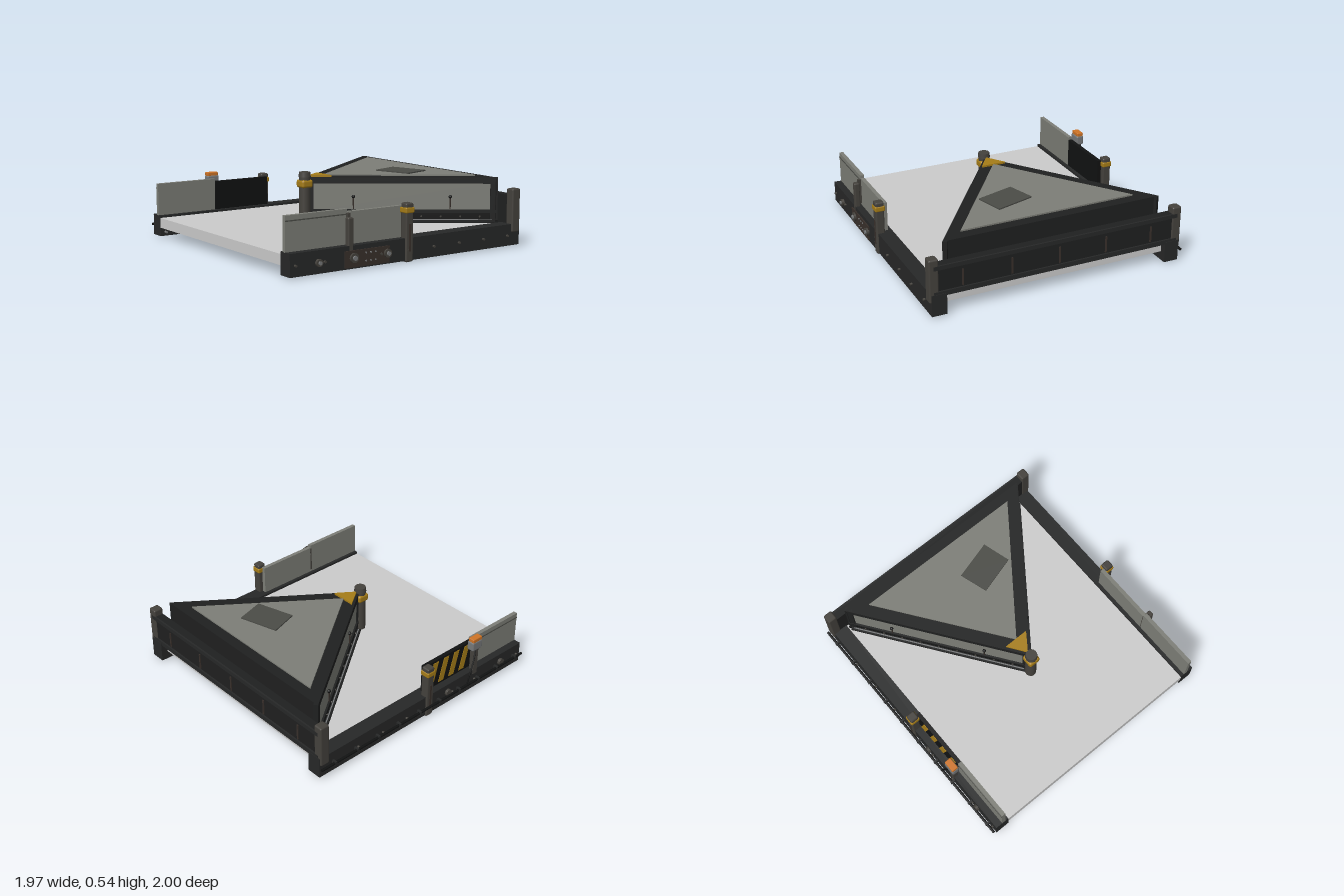
import * as THREE from 'three';
import { RoundedBoxGeometry } from 'three/addons/geometries/RoundedBoxGeometry.js';

const mat = (color, opts = {}) => new THREE.MeshStandardMaterial({ color, ...opts });
const M = {
  floor: mat(0xcccccc), black: mat(0x1f2020), rail: mat(0x272828), channel: mat(0x111212),
  panel: mat(0x7d7e77), hatch: mat(0x4b4c47), post: mat(0x45423d), rust: mat(0x39302b),
  steel: mat(0x77797a), yellow: mat(0xa67d18), orange: mat(0xcf7426),
};

export function createModel() {
  const root = new THREE.Group();
  root.name = 'barrierPlatform';

  const add = (parent, name, geo, material, x = 0, y = 0, z = 0) => {
    const m = new THREE.Mesh(geo, material);
    m.name = name;
    m.position.set(x, y, z);
    parent.add(m);
    return m;
  };
  // box given by its limits on each axis
  const box = (parent, name, material, x0, x1, y0, y1, z0, z1) =>
    add(parent, name, new THREE.BoxGeometry(Math.abs(x1 - x0), y1 - y0, z1 - z0), material,
      (x0 + x1) / 2, (y0 + y1) / 2, (z0 + z1) / 2);
  // short cylinder lying along x
  const knob = (parent, name, material, r, len, x, y, z, sides = 12) => {
    const m = add(parent, name, new THREE.CylinderGeometry(r, r, len, sides), material, x, y, z);
    m.rotation.z = Math.PI / 2;
    return m;
  };
  // flat polygon in x,z extruded upward from y0 to y1
  const slab = (parent, name, material, pts, y0, y1) => {
    const shape = new THREE.Shape(pts.map(([x, z]) => new THREE.Vector2(x, -z)));
    const geo = new THREE.ExtrudeGeometry(shape, { depth: y1 - y0, bevelEnabled: false });
    geo.rotateX(-Math.PI / 2);
    return add(parent, name, geo, material, 0, y0, 0);
  };

  // Floor plate
  box(root, 'floor', M.floor, -0.84, 0.84, 0.08, 0.155, -0.95, 1);

  // Side rails with bolts, posts and fence panels
  for (const s of [-1, 1]) {
    const side = new THREE.Group();
    side.name = s > 0 ? 'leftSide' : 'rightSide';
    root.add(side);
    box(side, 'rail', M.rail, s * 0.84, s * 0.95, 0.015, 0.172, -1, 1);
    for (let i = 0; i < 9; i++) {
      const z = -0.88 + i * 0.23;
      knob(side, 'outerBolt', M.post, 0.009, 0.02, s * 0.955, 0.09, z, 8);
      knob(side, 'innerBolt', M.steel, 0.009, 0.03, s * 0.83, 0.045, z, 8);
    }
    // Rear corner post
    add(side, 'cornerPost', new RoundedBoxGeometry(0.07, 0.32, 0.075, 1, 0.012), M.post, s * 0.928, 0.27, -0.958);
    // Middle post with a coloured collar
    add(side, 'middlePost', new RoundedBoxGeometry(0.065, 0.41, 0.065, 1, 0.012), M.post, s * 0.93, 0.21, 0.03);
    add(side, 'postCollar', new RoundedBoxGeometry(0.076, 0.042, 0.076, 1, 0.01), M.yellow, s * 0.93, 0.365, 0.03);
    box(side, 'postSlot', M.rust, s * 0.955, s * 0.966, 0.08, 0.27, 0.022, 0.038);
    // Fence panels
    box(side, 'frontPanel', M.panel, s * 0.866, s * 0.896, 0.17, 0.412, 0.51, 1);
    box(side, 'frontPanelStrip', M.hatch, s * 0.895, s * 0.9, 0.372, 0.38, 0.51, 1);
    box(side, 'rearPanel', s > 0 ? M.panel : M.channel, s * 0.866, s * 0.896, 0.17, 0.392, 0.03, 0.505);
  }

  // Control plate, knobs and short post on the left rail
  box(root, 'controlPlate', M.rust, 0.945, 0.958, 0.025, 0.14, 0.2, 0.57);
  for (const [z, r] of [[0.78, 0.026], [0.5, 0.034], [0.22, 0.03]]) {
    knob(root, 'knobBase', M.post, r, 0.02, 0.962, 0.09, z, 16);
    knob(root, 'knob', M.steel, r * 0.5, 0.03, 0.968, 0.09, z, 12);
  }
  for (let i = 0; i < 6; i++) {
    knob(root, 'plateScrew', M.steel, 0.006, 0.008, 0.96, i % 2 ? 0.06 : 0.115, 0.32 + Math.floor(i / 2) * 0.04, 8);
  }
  add(root, 'shortPost', new RoundedBoxGeometry(0.042, 0.23, 0.046, 1, 0.01), M.post, 0.93, 0.245, 0.515);
  box(root, 'shortPostBracket', M.post, 0.866, 0.92, 0.19, 0.385, 0.5, 0.52);

  // Diagonal stripes on the right rear panel
  for (let i = 0; i < 4; i++) {
    const z = 0.07 + i * 0.105;
    const stripe = new THREE.Shape([[z, 0.19], [z + 0.05, 0.19], [z + 0.1, 0.375], [z + 0.05, 0.375]]
      .map(([a, b]) => new THREE.Vector2(a, b)));
    const geo = new THREE.ExtrudeGeometry(stripe, { depth: 0.004, bevelEnabled: false });
    geo.rotateY(-Math.PI / 2);
    add(root, 'stripe', geo, M.yellow, -0.896, 0, 0);
  }

  // Conduit, clips and knobs along the right rail
  const conduit = add(root, 'conduit', new THREE.CylinderGeometry(0.01, 0.01, 2, 10), M.channel, -0.973, 0.09, 0);
  conduit.rotation.x = Math.PI / 2;
  for (let i = 0; i < 10; i++) {
    const z = -0.88 + i * 0.2;
    box(root, 'conduitClip', M.rail, -0.985, -0.945, 0.075, 0.105, z - 0.008, z + 0.008);
  }
  for (const z of [0.22, 0.78]) knob(root, 'rightKnob', M.post, 0.026, 0.03, -0.955, 0.11, z, 14);

  // Signal lamp on its bracket, with a cable
  box(root, 'lampPole', M.post, -0.955, -0.915, 0.14, 0.37, 0.48, 0.52);
  add(root, 'lampHousing', new RoundedBoxGeometry(0.06, 0.075, 0.1, 1, 0.012), M.steel, -0.94, 0.395, 0.495);
  add(root, 'lamp', new RoundedBoxGeometry(0.05, 0.03, 0.09, 1, 0.006), M.orange, -0.942, 0.442, 0.495);
  const cablePath = new THREE.CatmullRomCurve3([[-0.973, 0.09, 0.4], [-0.975, 0.17, 0.42],
    [-0.97, 0.28, 0.46], [-0.955, 0.37, 0.49]].map((p) => new THREE.Vector3(...p)));
  add(root, 'lampCable', new THREE.TubeGeometry(cablePath, 16, 0.006, 6), M.channel);

  // Back wall
  box(root, 'backWall', M.black, -0.93, 0.93, 0.155, 0.38, -0.985, -0.925);
  for (const [y0, y1] of [[0.155, 0.19], [0.35, 0.38]]) {
    box(root, 'backWallRib', M.rail, -0.93, 0.93, y0, y1, -0.997, -0.98);
  }
  for (const x of [-0.72, -0.36, 0, 0.36, 0.72]) {
    box(root, 'backWallStrap', M.rust, x - 0.006, x + 0.006, 0.2, 0.32, -0.992, -0.98);
  }

  // Triangular housing
  const housing = new THREE.Group();
  housing.name = 'triangularHousing';
  root.add(housing);
  slab(housing, 'housingCore', M.channel, [[-0.79, -0.89], [0, 0.195], [0.79, -0.89]], 0.17, 0.49);
  slab(housing, 'housingLid', M.black, [[-0.825, -0.9], [0, 0.235], [0.825, -0.9]], 0.455, 0.5);
  slab(housing, 'housingBase', M.channel, [[-0.835, -0.9], [0, 0.25], [0.835, -0.9]], 0.165, 0.185);
  slab(housing, 'lidPanel', M.panel, [[-0.66, -0.82], [0, 0.08], [0.66, -0.82]], 0.495, 0.511);
  slab(housing, 'lidHatch', M.hatch, [[0.005, -0.565], [0.07, -0.355], [0.355, -0.44], [0.295, -0.65]], 0.505, 0.52);
  slab(housing, 'warningPlate', M.yellow, [[-0.095, 0.075], [0, 0.21], [0.095, 0.075]], 0.495, 0.514);
  box(housing, 'housingBack', M.black, -0.82, 0.82, 0.17, 0.49, -0.9, -0.885);

  // Slanted faces: local x runs along the face, local z points outward
  const L = Math.hypot(0.825, 1.135);
  for (const s of [-1, 1]) {
    const face = new THREE.Group();
    face.name = s > 0 ? 'leftFace' : 'rightFace';
    face.position.set(s * 0.4125, 0, -0.3325);
    face.rotation.y = s * Math.atan2(1.135, 0.825);
    housing.add(face);
    const h = L / 2;
    box(face, 'facePanel', M.panel, -h + 0.05, h - 0.05, 0.25, 0.46, -0.03, -0.008);
    box(face, 'topBar', M.black, -h, h, 0.455, 0.5, -0.03, 0.002);
    box(face, 'lowerBar', M.black, -h, h, 0.238, 0.262, -0.03, 0.006);
    box(face, 'channel', M.channel, -h + 0.02, h - 0.02, 0.185, 0.24, -0.03, -0.004);
    box(face, 'footFlange', M.black, -h + 0.02, h - 0.02, 0.17, 0.188, -0.03, 0.024);
    box(face, 'footTrack', M.steel, -h + 0.04, h - 0.04, 0.186, 0.192, 0.004, 0.012);
    for (const e of [-1, 1]) box(face, 'endBar', M.black, e * (h - 0.055), e * h, 0.17, 0.5, -0.03, 0.002);
    for (let i = 0; i < 9; i++) {
      const rivet = add(face, 'rivet', new THREE.CylinderGeometry(0.007, 0.007, 0.012, 8), M.post, -h + 0.13 + i * (L - 0.26) / 8, 0.213, 0);
      rivet.rotation.x = Math.PI / 2;
    }
    // Latch handles
    for (const e of [-1, 1]) {
      const x = e * 0.355;
      add(face, 'latchKnob', new THREE.SphereGeometry(0.013, 12, 8), M.channel, x, 0.358, 0);
      add(face, 'latchRod', new THREE.CylinderGeometry(0.006, 0.004, 0.09, 8), M.rust, x, 0.312, 0);
    }
  }

  // Apex post with collar
  add(root, 'apexPost', new THREE.CylinderGeometry(0.042, 0.042, 0.36, 16), M.post, 0, 0.36, 0.248);
  add(root, 'apexCollar', new RoundedBoxGeometry(0.094, 0.06, 0.094, 2, 0.018), M.yellow, 0, 0.455, 0.248);
  add(root, 'apexCap', new THREE.CylinderGeometry(0.042, 0.046, 0.035, 16), M.post, 0, 0.523, 0.248);

  return root;
}
